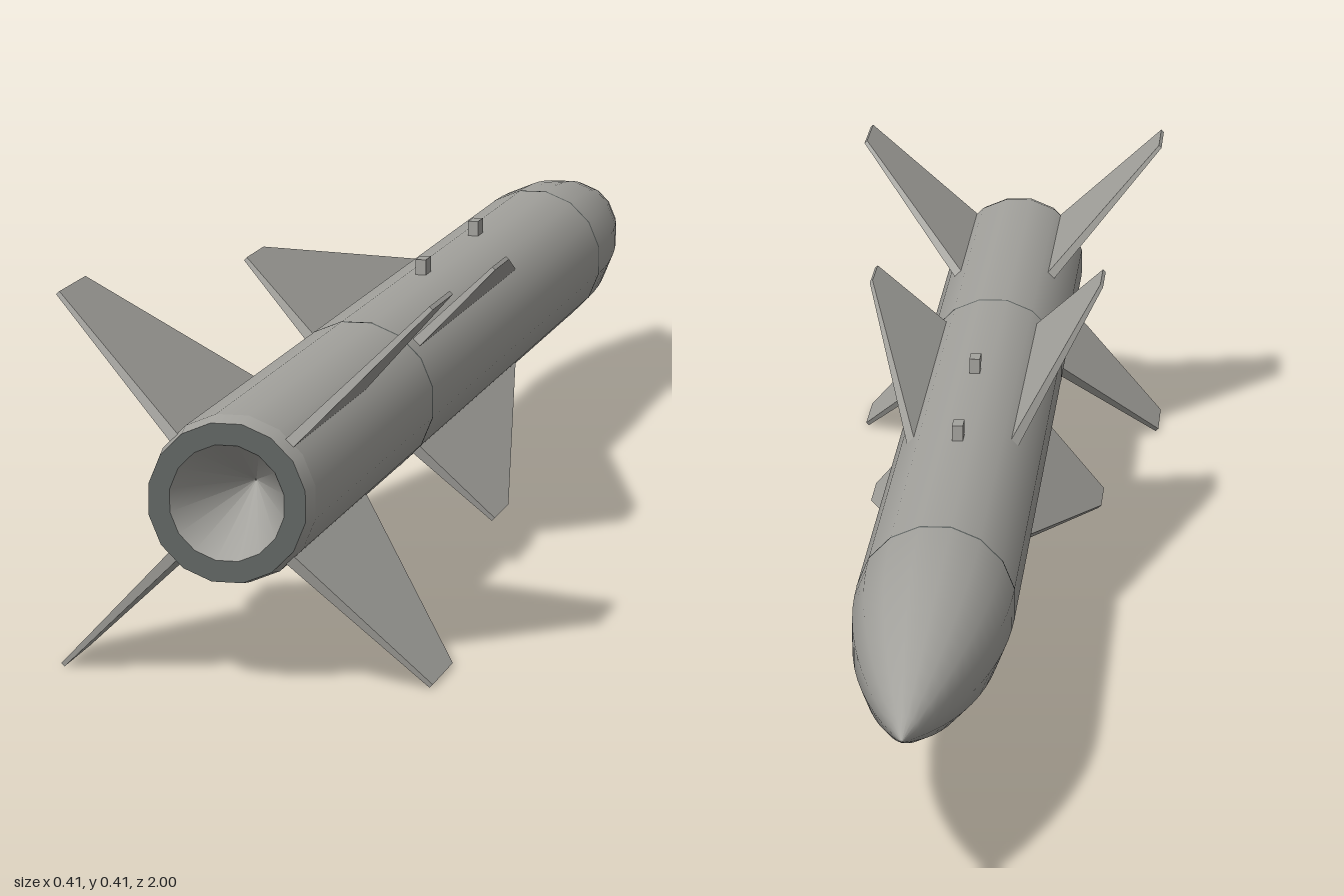
import * as THREE from 'three';

const AXIS_Y = 0.2045; // height of the body axis
const R = 0.0912; // corner radius of the 16-sided body
const SIDES = 16;

const grey = new THREE.MeshStandardMaterial({ name: 'bodyGrey', color: 0xa3a29d });
const dark = new THREE.MeshStandardMaterial({ name: 'nozzleDarkGrey', color: 0x5f6462 });

// Surface of revolution along z from [radius, z] pairs; a flat lies at the top
function revolve(name, profile, material) {
  const points = profile.map(([r, z]) => new THREE.Vector2(r, z));
  const geometry = new THREE.LatheGeometry(points, SIDES, Math.PI / SIDES);
  geometry.rotateX(Math.PI / 2);
  const mesh = new THREE.Mesh(geometry, material);
  mesh.name = name;
  return mesh;
}

// Swept plate standing along +x, thinning from root to tip
function finGeometry({ rootR, tipR, root, tip, rootT, tipT }) {
  const shape = new THREE.Shape([
    new THREE.Vector2(rootR, root[0]),
    new THREE.Vector2(tipR, tip[0]),
    new THREE.Vector2(tipR, tip[1]),
    new THREE.Vector2(rootR, root[1]),
  ]);
  const geometry = new THREE.ExtrudeGeometry(shape, { depth: 1, bevelEnabled: false });
  geometry.translate(0, 0, -0.5);
  geometry.rotateX(Math.PI / 2);
  const p = geometry.attributes.position;
  for (let i = 0; i < p.count; i++) {
    const t = (p.getX(i) - rootR) / (tipR - rootR);
    p.setY(i, p.getY(i) * THREE.MathUtils.lerp(rootT, tipT, t));
  }
  geometry.computeVertexNormals();
  return geometry;
}

// Four fins in an X around the body
function finSet(name, spec) {
  const set = new THREE.Group();
  set.name = name + 's';
  const geometry = finGeometry(spec);
  for (let i = 0; i < 4; i++) {
    const fin = new THREE.Mesh(geometry, grey);
    fin.name = name;
    fin.rotation.z = Math.PI / 4 + (i * Math.PI) / 2;
    set.add(fin);
  }
  return set;
}

export function createModel() {
  const model = new THREE.Group();
  model.name = 'missile';
  const body = new THREE.Group();
  body.name = 'body';
  body.position.y = AXIS_Y;
  model.add(body);

  // Tangent ogive nose
  const noseLength = 0.46;
  const rho = (R * R + noseLength * noseLength) / (2 * R);
  const nose = [];
  for (let i = 0; i <= 12; i++) {
    const d = noseLength * (1 - i / 12); // distance ahead of the nose base
    nose.push([Math.max(0, Math.sqrt(rho * rho - d * d) - rho + R), -0.54 - d]);
  }
  body.add(revolve('noseCone', nose, grey));

  // Body tube sections, chamfered tail and seam lines
  body.add(revolve('frontTube', [[R, -0.54], [R, 0.435]], grey));
  body.add(revolve('motorTube', [[R, 0.435], [R, 0.975]], grey));
  body.add(revolve('tailChamfer', [[R, 0.975], [0.0865, 1]], grey));
  for (const z of [-0.54, 0.435]) {
    const r = R + 0.0003;
    body.add(revolve('seam', [[R, z - 0.002], [r, z - 0.0015], [r, z + 0.0015], [R, z + 0.002]], dark));
  }

  // Nozzle rim and conical recess
  body.add(revolve('nozzleRim', [[0.0865, 1], [0.063, 1]], dark));
  body.add(revolve('nozzleCone', [[0.063, 1], [0, 0.88]], grey));

  // Mid-body wings and tail fins
  body.add(finSet('wing', {
    rootR: 0.085, tipR: 0.209, root: [-0.135, 0.405], tip: [0.3, 0.375], rootT: 0.012, tipT: 0.005,
  }));
  body.add(finSet('tailFin', {
    rootR: 0.085, tipR: 0.287, root: [0.66, 0.98], tip: [0.835, 0.93], rootT: 0.012, tipT: 0.005,
  }));

  // Launch lugs on the spine
  for (const z of [-0.19, 0.1]) {
    const lug = new THREE.Mesh(new THREE.BoxGeometry(0.013, 0.026, 0.027), grey);
    lug.name = 'launchLug';
    lug.position.set(0, 0.095, z);
    body.add(lug);
  }
  return model;
}
